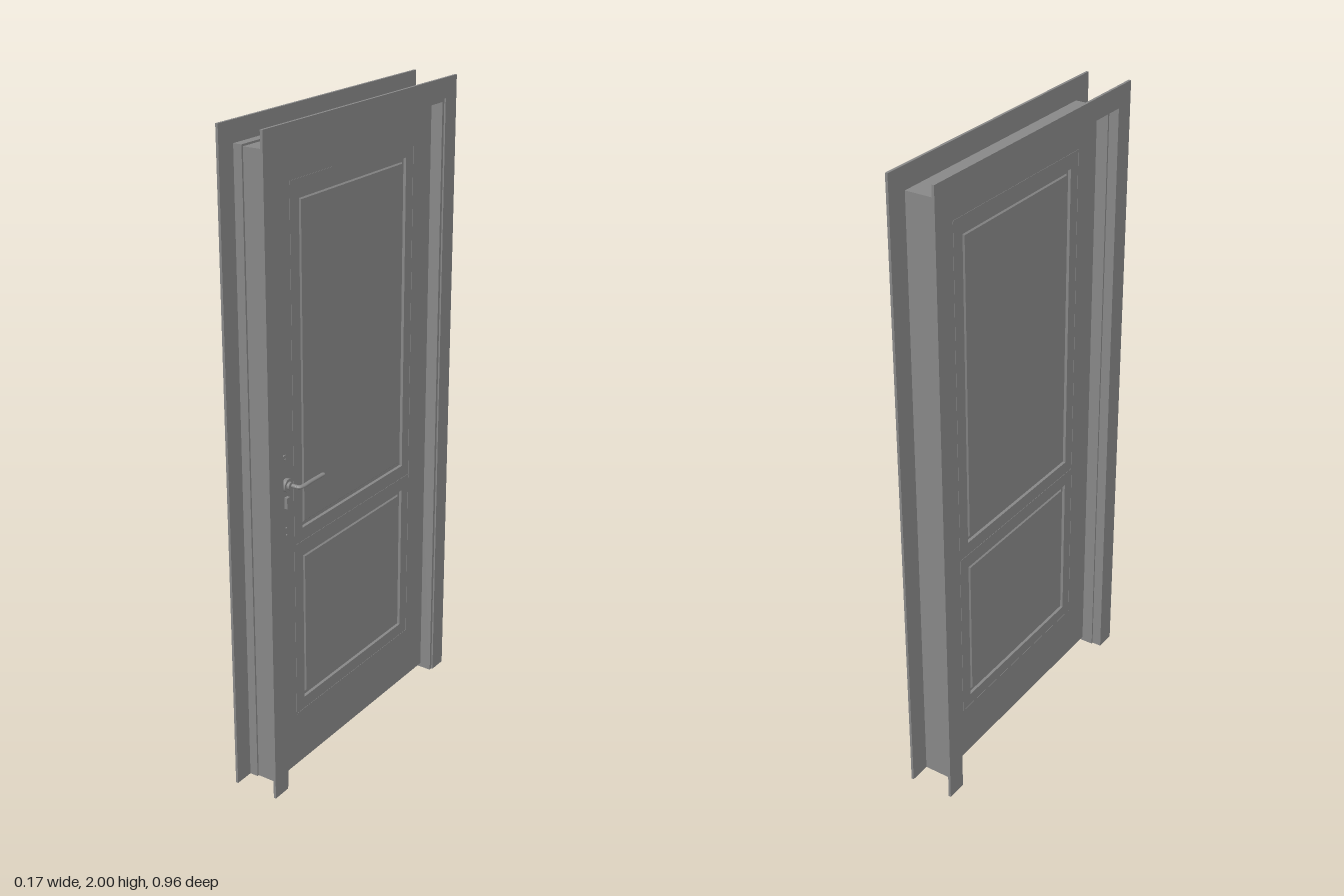
import * as THREE from 'three';

const GREY = 0x878787;
const mat = new THREE.MeshStandardMaterial({ color: GREY, flatShading: true });
const matOpen = new THREE.MeshStandardMaterial({ color: GREY, flatShading: true, side: THREE.DoubleSide });
const smooth = new THREE.MeshStandardMaterial({ color: GREY });

function add(parent, name, geo, material = mat, x = 0, y = 0, z = 0) {
  const m = new THREE.Mesh(geo, material);
  m.name = name;
  m.position.set(x, y, z);
  parent.add(m);
  return m;
}

function buffer(pos, idx) {
  const g = new THREE.BufferGeometry();
  g.setAttribute('position', new THREE.Float32BufferAttribute(pos, 3));
  g.setIndex(idx);
  const flat = g.toNonIndexed();
  flat.computeVertexNormals();
  return flat;
}

// Sweeps a closed section of [x, outward offset] up one jamb, over the head and down the other
function sweepFrame(section) {
  const n = section.length, pos = [], idx = [];
  const stations = [[1, 0], [1, 1], [-1, 1], [-1, 0]];
  for (const [side, up] of stations)
    for (const [x, o] of section) pos.push(x, up * (o + 1.52), side * o);
  for (let s = 0; s < 3; s++)
    for (let i = 0; i < n; i++) {
      const j = (i + 1) % n, a = s * n + i, b = s * n + j;
      idx.push(a, a + n, b + n, a, b + n, b);
    }
  const tris = THREE.ShapeUtils.triangulateShape(section.map(p => new THREE.Vector2(...p)), []);
  for (const [a, b, c] of tris) idx.push(a, b, c, 3 * n + a, 3 * n + c, 3 * n + b);
  return buffer(pos, idx);
}

// Moulded panel: nested rectangles of [inset, x], closed by a flat field
function panelGeometry(half, y0, y1, rings) {
  const pos = [], idx = [];
  for (const [d, x] of rings) {
    const h = half - d;
    pos.push(x, y0 + d, h, x, y0 + d, -h, x, y1 - d, -h, x, y1 - d, h);
  }
  for (let r = 0; r < rings.length - 1; r++)
    for (let i = 0; i < 4; i++) {
      const a = r * 4 + i, b = r * 4 + (i + 1) % 4;
      idx.push(a, b, b + 4, a, b + 4, a + 4);
    }
  const k = (rings.length - 1) * 4;
  idx.push(k, k + 1, k + 2, k, k + 2, k + 3);
  return buffer(pos, idx);
}

function rect(T, h, y0, y1) {
  const s = new T();
  s.moveTo(-h, y0);
  s.lineTo(h, y0);
  s.lineTo(h, y1);
  s.lineTo(-h, y1);
  s.closePath();
  return s;
}

export function createModel() {
  const root = new THREE.Group();
  root.name = 'door';

  // Folded frame: two casings joined by a thin rebated lining, with a small step at the front edge
  add(root, 'frame', sweepFrame([
    [0.06, 0.409], [0.06, 0.419], [0.065, 0.419], [0.065, 0.48],
    [0.057, 0.48], [0.057, 0.4125], [-0.05, 0.4125], [-0.05, 0.4185],
    [-0.077, 0.4185], [-0.077, 0.48], [-0.085, 0.48], [-0.085, 0.415],
    [-0.054, 0.415], [-0.054, 0.409],
  ]), matOpen);

  // Leaf with two panel openings
  const leaf = new THREE.Group();
  leaf.name = 'leaf';
  leaf.position.x = 0.003;
  root.add(leaf);
  const T = 0.02, W = 0.27;
  const openings = [[0.23, 0.715], [0.8, 1.785]];
  const shape = rect(THREE.Shape, 0.408, 0.014, 1.928);
  for (const [a, b] of openings) shape.holes.push(rect(THREE.Path, W, a, b));
  const slab = new THREE.ExtrudeGeometry(shape, { depth: 2 * T, bevelEnabled: false });
  slab.translate(0, 0, -T).rotateY(Math.PI / 2);
  add(leaf, 'stilesAndRails', slab);

  // Panels and fine joint lines on both faces
  const rings = [[0, T], [0.002, T - 0.008], [0.012, T - 0.008], [0.016, T - 0.004]];
  for (const turn of [0, Math.PI]) {
    const face = new THREE.Group();
    face.name = turn ? 'backFace' : 'frontFace';
    face.rotation.y = turn;
    leaf.add(face);
    for (const [a, b] of openings) add(face, 'panel', panelGeometry(W, a, b, rings));
    for (const z of [-0.31, 0.31])
      add(face, 'stileJoint', new THREE.BoxGeometry(0.002, 1.64, 0.003), mat, T, 1.01, z);
    for (const y of [0.19, 0.757, 1.83])
      add(face, 'railJoint', new THREE.BoxGeometry(0.002, 0.003, 0.62), mat, T, y, 0);
  }

  // Handle set on the +x face
  const handle = new THREE.Group();
  handle.name = 'handleSet';
  handle.position.set(0.003 + T, 0, 0.355);
  root.add(handle);

  const r = 0.018, plate = new THREE.Shape();
  plate.absarc(0, 1.042, r, 0, Math.PI);
  plate.absarc(0, 0.818, r, Math.PI, 2 * Math.PI);
  plate.closePath();
  const plateGeo = new THREE.ExtrudeGeometry(plate, { depth: 0.004, bevelEnabled: false, curveSegments: 16 });
  add(handle, 'backPlate', plateGeo.rotateY(Math.PI / 2));

  const disc = (rad, len) => new THREE.CylinderGeometry(rad, rad, len, 24).rotateZ(Math.PI / 2);
  add(handle, 'rosette', disc(0.02, 0.014), smooth, 0.009, 0.97);
  add(handle, 'collar', disc(0.012, 0.022), smooth, 0.013, 0.97);
  add(handle, 'neck', disc(0.006, 0.04), smooth, 0.022, 0.97, -0.005);
  add(handle, 'lockCylinder', new THREE.BoxGeometry(0.014, 0.034, 0.014), mat, 0.007, 0.915);
  for (const y of [1.048, 0.835, 0.812]) add(handle, 'screw', disc(0.003, 0.004), smooth, 0.0045, y);

  // Lever: a bent, slightly flattened bar with a rounded end
  const path = new THREE.CatmullRomCurve3([
    [0.036, -0.005], [0.047, -0.008], [0.051, -0.02], [0.05, -0.06], [0.0505, -0.118],
  ].map(([x, z]) => new THREE.Vector3(x, 0, z)));
  const lever = add(handle, 'lever', new THREE.TubeGeometry(path, 30, 0.007, 12), smooth, 0, 0.97);
  lever.scale.y = 0.8;
  const tip = add(handle, 'leverTip', new THREE.SphereGeometry(0.007, 12, 8), smooth, 0.0505, 0.97, -0.118);
  tip.scale.y = 0.8;

  return root;
}
